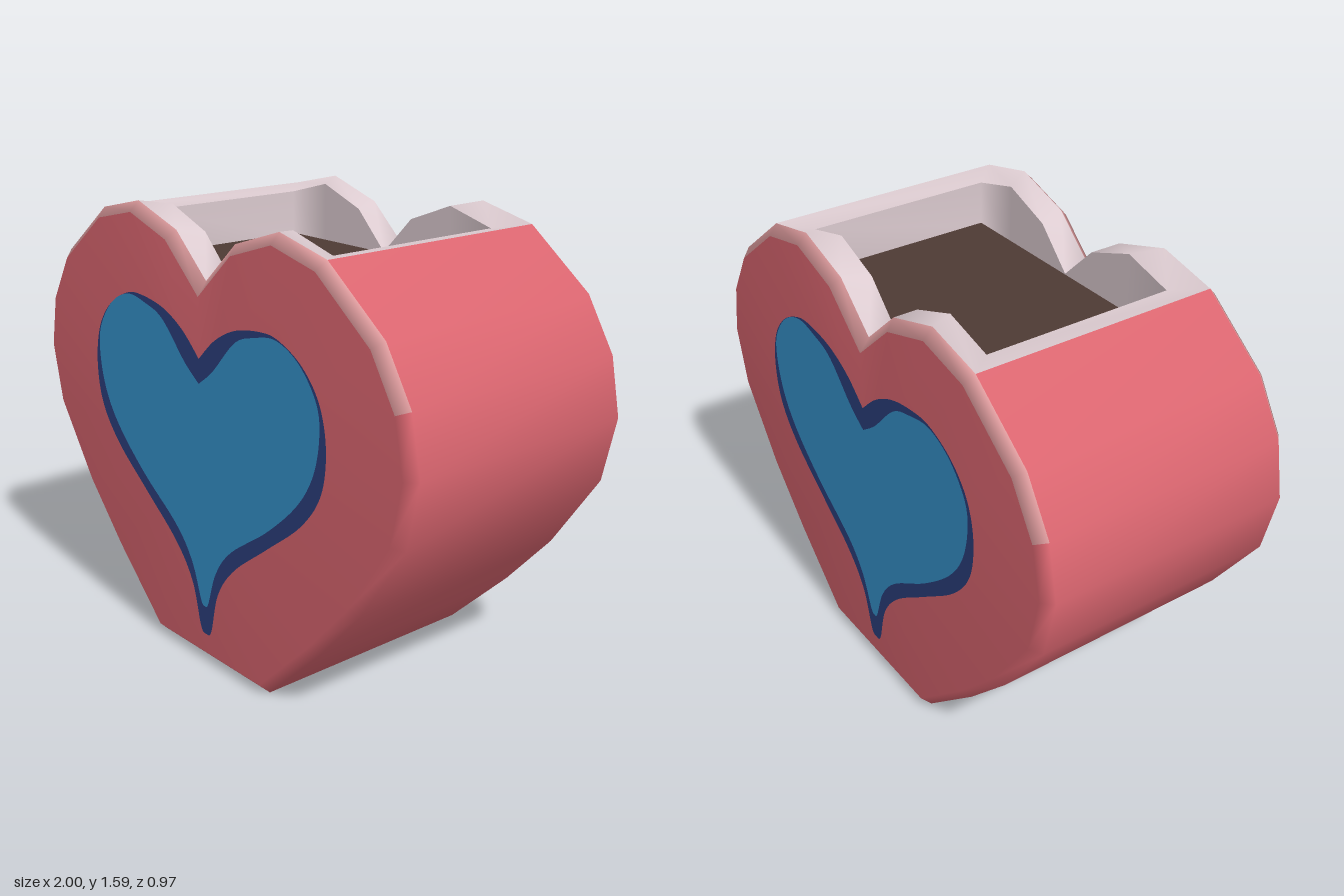
import * as THREE from 'three';

const mat = (name, color, side = THREE.FrontSide) => {
  const m = new THREE.MeshStandardMaterial({ color, side });
  m.name = name;
  return m;
};

// Right half of the heart outline, from the base up to the notch
const HALF = [
  [0.31, 0], [0.57, 0.25], [0.76, 0.46], [0.95, 0.74], [1, 0.97], [0.96, 1.17],
  [0.85, 1.35], [0.6, 1.54], [0.38, 1.59], [0.16, 1.52], [0, 1.375],
];
const OUTLINE = [...HALF, ...HALF.slice(0, -1).reverse().map(([x, y]) => [-x, y])];
const N = OUTLINE.length;
const SOIL_Y = 1.365;

// Mitred inset of a closed counter-clockwise outline
function inset(points, d) {
  return points.map((p, i) => {
    const a = points[(i + N - 1) % N], b = points[(i + 1) % N];
    const normal = (s, e) => new THREE.Vector2(s[1] - e[1], e[0] - s[0]).normalize();
    const n1 = normal(a, p), n2 = normal(p, b);
    const k = d / (1 + n1.dot(n2));
    return [p[0] + (n1.x + n2.x) * k, p[1] + (n1.y + n2.y) * k];
  });
}

function indexed(points, index) {
  const g = new THREE.BufferGeometry();
  g.setAttribute('position', new THREE.Float32BufferAttribute(points.flat(), 3));
  g.setIndex(index);
  return g;
}

// Band between two closed loops of equal length
function band(a, b) {
  const n = a.length, index = [];
  for (let i = 0; i < n; i++) {
    const j = (i + 1) % n;
    index.push(i, i + n, j + n, i, j + n, j);
  }
  const g = indexed([...a, ...b], index);
  g.computeVertexNormals();
  return g;
}

// Heart body: two faces, bevels and an outer wall left open at the top
function bodyGeometry() {
  const small = inset(OUTLINE, 0.035);
  const at = (pts, z) => pts.map(([x, y]) => [x, y, z]);
  const points = [
    ...at(small, 0.48), ...at(OUTLINE, 0.445), ...at(OUTLINE, -0.445), ...at(small, -0.48),
    [0, 0.75, 0.48], [0, 0.75, -0.48],
  ];
  const main = [], edge = [];
  for (let i = 0; i < N; i++) {
    const j = (i + 1) % N;
    main.push(4 * N, i, j, 4 * N + 1, 3 * N + j, 3 * N + i);
    for (let r = 0; r < 3; r++) {
      if (r === 1 && i >= 7 && i < 13) continue;
      const a = r * N, b = a + N;
      const list = r !== 1 && i >= 5 && i < 15 ? edge : main;
      list.push(a + i, b + i, b + j, a + i, b + j, a + j);
    }
  }
  const g = indexed(points, [...main, ...edge]);
  g.addGroup(0, main.length, 0);
  g.addGroup(main.length, edge.length, 1);
  g.computeVertexNormals();
  return g;
}

// Smooth heart from a half profile running from notch to tip
function heartGeometry(half) {
  const v = half.map(([x, y]) => new THREE.Vector2(x, y));
  const mirrored = v.map((p) => new THREE.Vector2(-p.x, p.y)).reverse();
  const shape = new THREE.Shape();
  shape.moveTo(v[0].x, v[0].y);
  shape.splineThru(v.slice(1));
  shape.splineThru(mirrored.slice(1));
  return new THREE.ShapeGeometry(shape, 8);
}

export function createModel() {
  const model = new THREE.Group();
  model.name = 'heartPlanter';
  const pink = mat('rose pink', 0xd9656f);
  const lightPink = mat('worn pink', 0xdc9a9c);
  const pale = mat('pale rim', 0xdccbd0, THREE.DoubleSide);
  const soilBrown = mat('soil brown', 0x4e3a34);
  const navy = mat('navy', 0x2b3f7d);
  const blue = mat('sky blue', 0x3592cb);

  const add = (name, geometry, material, parent = model) => {
    const m = new THREE.Mesh(geometry, material);
    m.name = name;
    parent.add(m);
    return m;
  };

  add('body', bodyGeometry(), [pink, lightPink]);

  // Rim and inner wall follow the lobes at front and back
  const lobes = OUTLINE.slice(7, 14);
  const loop = (f) => [
    ...lobes.map(([x, y]) => f(x, y, 1)),
    ...[...lobes].reverse().map(([x, y]) => f(x, y, -1)),
  ];
  const outer = loop((x, y, s) => [x, y, s * 0.445]);
  const inner = loop((x, y, s) => [x * 0.85, Math.max(y - 0.015, SOIL_Y + 0.003), s * 0.345]);
  const floor = loop((x, y, s) => [x * 0.85, SOIL_Y - 0.01, s * 0.345]);
  add('rim', band(outer, inner), pale);
  add('innerWall', band(inner, floor), pale);

  // Soil surface
  const soil = add('soil', new THREE.PlaneGeometry(1.02, 0.69), soilBrown);
  soil.rotation.x = -Math.PI / 2;
  soil.position.y = SOIL_Y;

  // Painted hearts on both faces
  const border = heartGeometry([
    [0, 1.12], [0.09, 1.2], [0.2, 1.255], [0.33, 1.277], [0.42, 1.268], [0.53, 1.21],
    [0.61, 1.11], [0.64, 0.97], [0.615, 0.82], [0.52, 0.69], [0.35, 0.555],
    [0.17, 0.415], [0.075, 0.29], [0.03, 0.13], [0, 0.11],
  ]);
  const fill = heartGeometry([
    [0, 1.035], [0.08, 1.095], [0.2, 1.215], [0.3, 1.253], [0.41, 1.267], [0.52, 1.215],
    [0.6, 1.11], [0.612, 1.0], [0.58, 0.87], [0.5, 0.75], [0.35, 0.615],
    [0.16, 0.48], [0.07, 0.37], [0.02, 0.235], [0, 0.22],
  ]);
  for (const [side, turn] of [['front', 0], ['back', Math.PI]]) {
    const panel = new THREE.Group();
    panel.name = side + 'Heart';
    panel.rotation.y = turn;
    add(side + 'HeartBorder', border, navy, panel).position.z = 0.483;
    add(side + 'HeartFill', fill, blue, panel).position.z = 0.486;
    model.add(panel);
  }
  return model;
}
